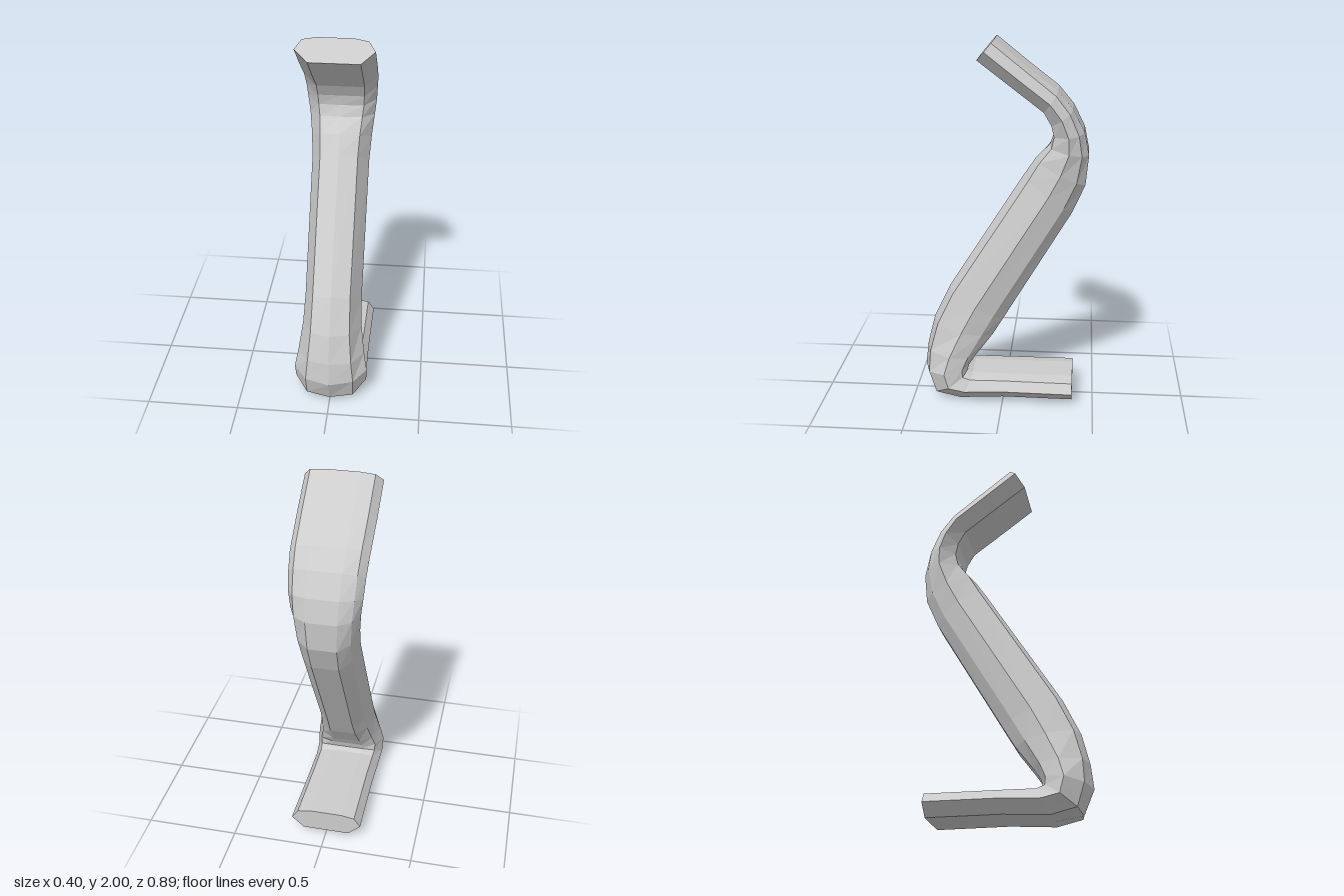
import * as THREE from 'three';

// Stations along the bent bar: front z, y, back z, y, half width, front and back corner roundness
const STATIONS = [
  [0.13, 1.9, 0.045, 2.0, 0.2, 1, 0.8],
  [-0.04, 1.77, -0.13, 1.86, 0.2, 1, 0.8],
  [-0.21, 1.64, -0.28, 1.745, 0.197, 1, 0.75],
  [-0.25, 1.57, -0.36, 1.65, 0.192, 1, 0.7],
  [-0.26, 1.51, -0.42, 1.53, 0.187, 0.95, 0.65],
  [-0.24, 1.45, -0.445, 1.41, 0.177, 0.9, 0.65],
  [-0.17, 1.38, -0.43, 1.25, 0.165, 0.85, 0.65],
  [-0.11, 1.29, -0.365, 1.1, 0.157, 0.82, 0.65],
  [0.3, 0.64, 0.0, 0.48, 0.155, 0.82, 0.65],
  [0.39, 0.45, 0.06, 0.38, 0.162, 0.82, 0.65],
  [0.43, 0.29, 0.15, 0.26, 0.182, 0.8, 0.7],
  [0.445, 0.16, 0.19, 0.2, 0.2, 0.72, 0.75],
  [0.39, 0.03, 0.2, 0.165, 0.197, 0.8, 0.8],
  [0.24, 0.005, 0.17, 0.15, 0.192, 0.92, 0.8],
  [0.0, 0.025, 0.0, 0.15, 0.19, 1, 0.8],
  [-0.385, 0.025, -0.385, 0.15, 0.195, 1, 0.8],
];

// Ten-sided section: ridge in front, flat panel at the back
function section([fz, fy, bz, by, w, cf, cb]) {
  const half = [[0.65, cf], [1, 0], [0.82, -cb], [0.45, -1]];
  const outline = [[0, 1], ...half, ...half.slice().reverse().map(([u, v]) => [-u, v])];
  return outline.map(([u, v]) => {
    const t = (1 - v) / 2;
    return [u * w, fy + (by - fy) * t, fz + (bz - fz) * t];
  });
}

// Skin the sections and close both ends
function loft(stations) {
  const rings = stations.map(section);
  const n = rings[0].length;
  const index = [];
  for (let i = 0; i < rings.length - 1; i++) {
    for (let j = 0; j < n; j++) {
      const a = i * n + j, b = i * n + (j + 1) % n;
      index.push(a, a + n, b, b, a + n, b + n);
    }
  }
  const last = (rings.length - 1) * n;
  for (let j = 1; j < n - 1; j++) {
    index.push(0, j, j + 1);
    index.push(last, last + j + 1, last + j);
  }
  const geometry = new THREE.BufferGeometry();
  geometry.setAttribute('position', new THREE.Float32BufferAttribute(rings.flat(2), 3));
  geometry.setIndex(index);
  const faceted = geometry.toNonIndexed();
  faceted.computeVertexNormals();
  return faceted;
}

export function createModel() {
  const group = new THREE.Group();
  group.name = 'bentBarModel';
  const grey = new THREE.MeshStandardMaterial({ color: 0xcccccc });
  grey.name = 'light grey';
  grey.flatShading = true;

  // One continuous bar: flattened top lip, rounded leaning stem, flattened foot
  const bar = new THREE.Mesh(loft(STATIONS), grey);
  bar.name = 'bentBar';
  group.add(bar);
  return group;
}
